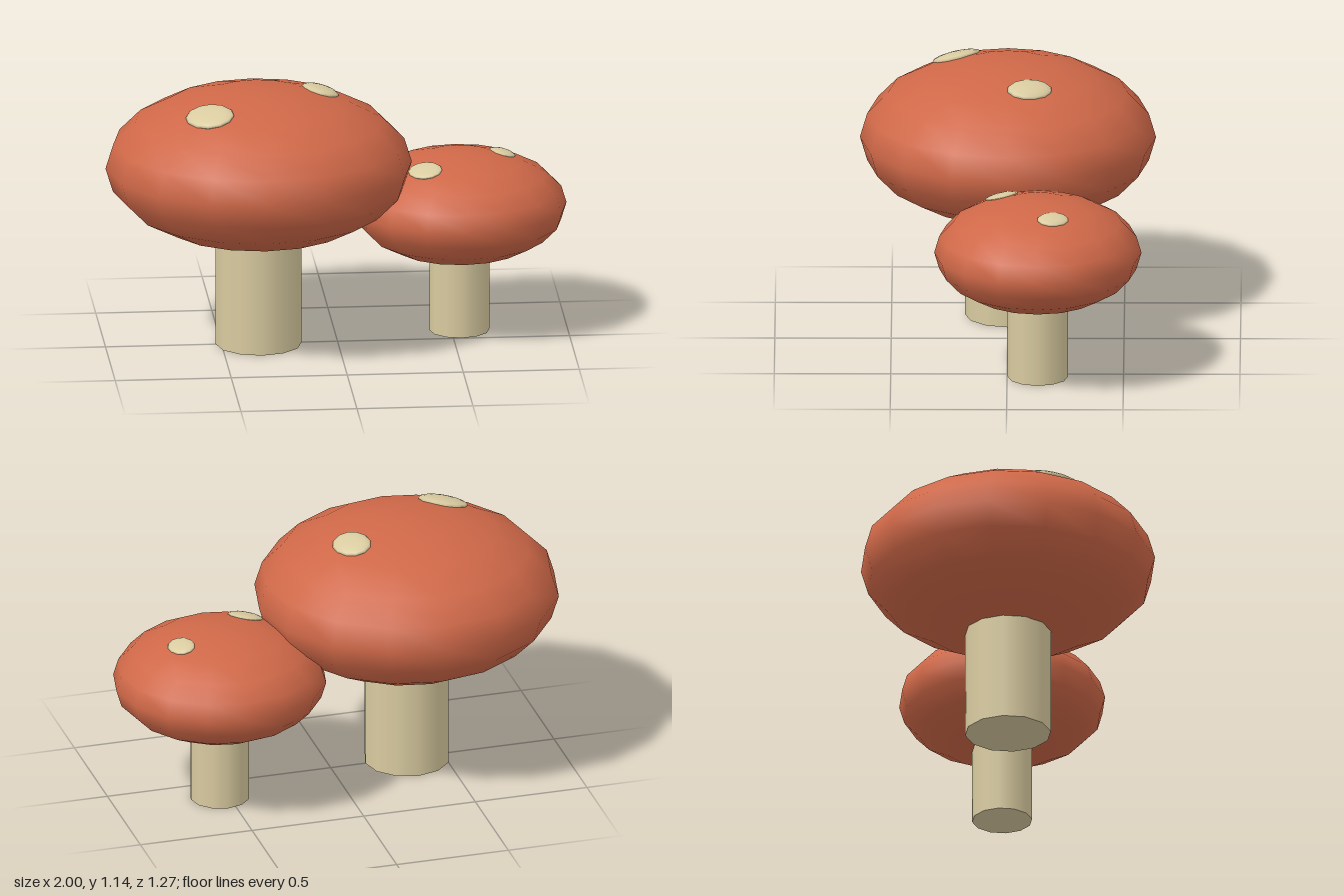
import * as THREE from 'three';

const red = new THREE.MeshStandardMaterial({ color: 0xcf6848 });
red.name = 'capRed';
const cream = new THREE.MeshStandardMaterial({ color: 0xd9cba0 });
cream.name = 'stemCream';

const CAP = new THREE.Vector3(0.66, 0.34, 0.636); // cap radii
const CAP_Y = 0.8;

// Spots: offset from the cap axis, half length around the axis, half width along the slope
const SPOTS = [
  { x: -0.23, z: 0.225, long: 0.114, wide: 0.094 },
  { x: 0.275, z: -0.094, long: 0.099, wide: 0.078 },
];

// Flattened dome lying on the cap surface
function makeSpot({ x, z, long, wide }) {
  const y = CAP.y * Math.sqrt(1 - (x / CAP.x) ** 2 - (z / CAP.z) ** 2);
  const normal = new THREE.Vector3(x / CAP.x ** 2, y / CAP.y ** 2, z / CAP.z ** 2).normalize();
  const around = new THREE.Vector3(-z, 0, x).normalize();
  const slope = new THREE.Vector3().crossVectors(around, normal);
  const spot = new THREE.Mesh(new THREE.SphereGeometry(1, 12, 8), cream);
  spot.name = 'spot';
  spot.quaternion.setFromRotationMatrix(new THREE.Matrix4().makeBasis(around, normal, slope));
  spot.scale.set(long, 0.022, wide);
  spot.position.set(x, CAP_Y + y, z).addScaledVector(normal, -0.006);
  return spot;
}

function makeMushroom(name) {
  const group = new THREE.Group();
  group.name = name;

  // Straight stem, its top hidden inside the cap
  const stem = new THREE.Mesh(new THREE.CylinderGeometry(0.185, 0.185, 0.6, 12), cream);
  stem.name = 'stem';
  stem.position.y = 0.3;

  // Squashed round cap
  const cap = new THREE.Mesh(new THREE.SphereGeometry(1, 16, 10), red);
  cap.name = 'cap';
  cap.scale.copy(CAP);
  cap.position.y = CAP_Y;

  group.add(stem, cap, ...SPOTS.map(makeSpot));
  return group;
}

export function createModel() {
  const model = new THREE.Group();
  model.name = 'mushrooms';

  const large = makeMushroom('largeMushroom');
  large.position.x = -0.34;

  const small = makeMushroom('smallMushroom');
  small.scale.setScalar(0.7);
  small.position.set(0.536, 0, -0.132);

  model.add(large, small);
  return model;
}
